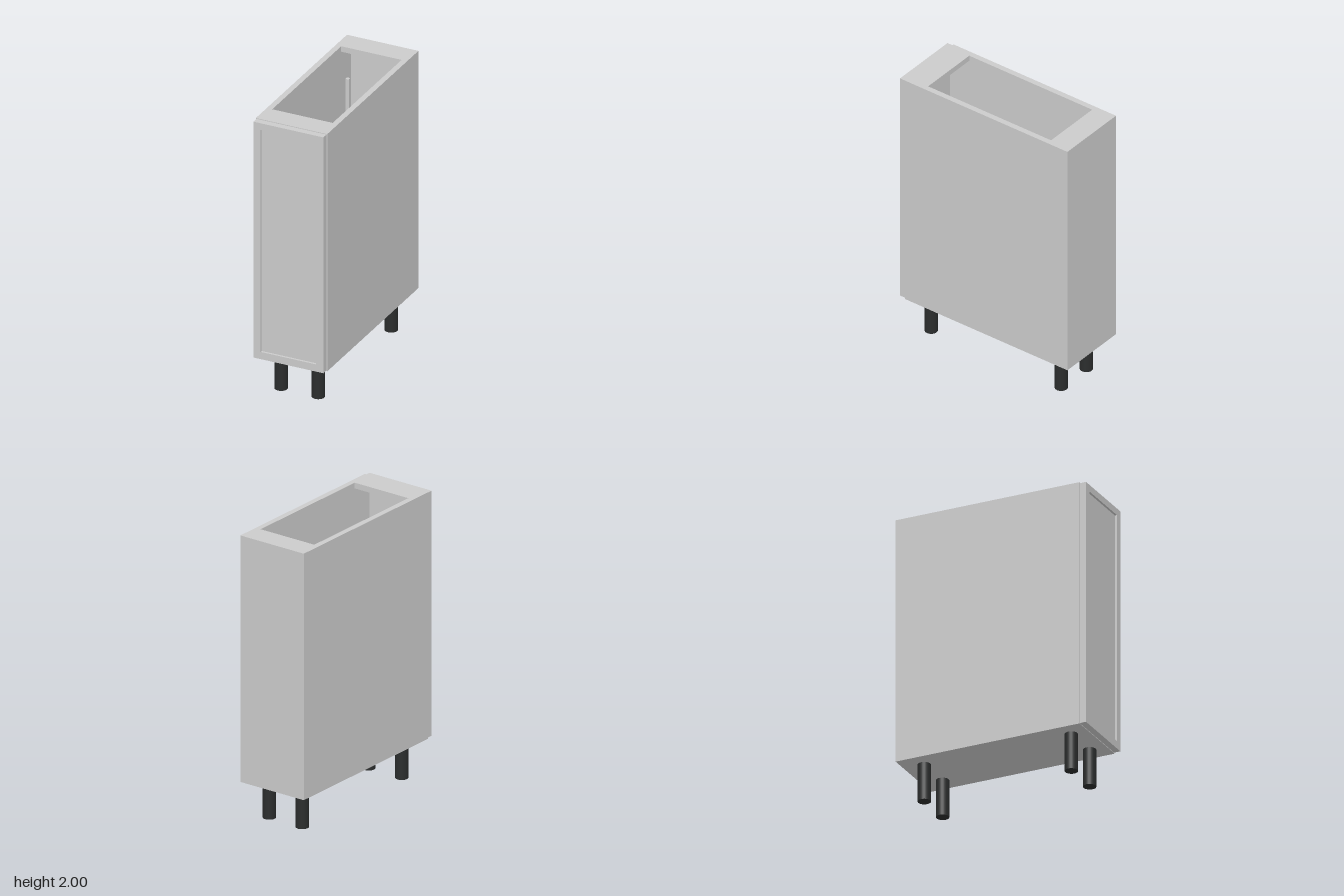
import * as THREE from 'three';

const grey = new THREE.MeshStandardMaterial({ color: 0xcccccc });
const black = new THREE.MeshStandardMaterial({ color: 0x2b2d2d });
const steel = new THREE.MeshStandardMaterial({ color: 0xb0b6ba });

// Box given by its min and max corners
function box(parent, name, [x0, y0, z0], [x1, y1, z1], material = grey) {
  const mesh = new THREE.Mesh(new THREE.BoxGeometry(x1 - x0, y1 - y0, z1 - z0), material);
  mesh.position.set((x0 + x1) / 2, (y0 + y1) / 2, (z0 + z1) / 2);
  mesh.name = name;
  parent.add(mesh);
  return mesh;
}

function rect(path, x0, y0, x1, y1) {
  path.moveTo(x0, y0);
  path.lineTo(x1, y0);
  path.lineTo(x1, y1);
  path.lineTo(x0, y1);
  path.closePath();
  return path;
}

export function createModel() {
  const model = new THREE.Group();
  model.name = 'baseCabinet';

  const W = 0.26, inner = 0.22, bottom = 0.265, top = 2;
  const back = -0.69, front = 0.645, board = 0.04;

  // Carcass: sides, floor, back and the two top rails
  const carcass = new THREE.Group();
  carcass.name = 'carcass';
  model.add(carcass);
  box(carcass, 'leftSide', [inner, bottom, back], [W, top, front]);
  box(carcass, 'rightSide', [-W, bottom, back], [-inner, top, front]);
  box(carcass, 'floor', [-inner, bottom, back], [inner, bottom + board, front]);
  box(carcass, 'backPanel', [-inner, bottom + board, back], [inner, top - board, back + 0.02]);
  box(carcass, 'rearRail', [-inner, top - board, back], [inner, top, -0.525]);
  box(carcass, 'frontRail', [-inner, top - board, 0.485], [inner, top, front]);

  // Door: frame around a recessed panel
  const door = new THREE.Group();
  door.name = 'door';
  model.add(door);
  const outline = rect(new THREE.Shape(), -0.254, 0.27, 0.254, 1.995);
  outline.holes.push(rect(new THREE.Path(), -0.202, 0.323, 0.202, 1.947));
  const frame = new THREE.Mesh(
    new THREE.ExtrudeGeometry(outline, { depth: 0.69 - front, bevelEnabled: false }), grey);
  frame.position.z = front;
  frame.name = 'doorFrame';
  door.add(frame);
  box(door, 'doorPanel', [-0.202, 0.323, front], [0.202, 1.947, 0.675]);

  // Pull-out tray with runners and rear posts
  const tray = new THREE.Group();
  tray.name = 'pullOutTray';
  model.add(tray);
  box(tray, 'trayBase', [-0.18, 0.34, -0.53], [0.18, 0.36, 0.64], steel);
  box(tray, 'trayBack', [-0.17, 0.36, -0.53], [0.17, 0.55, -0.52], steel);
  for (const s of [-1, 1]) {
    const pair = (name, a, b, y0, y1, z0, z1) =>
      box(tray, name, [Math.min(s * a, s * b), y0, z0], [Math.max(s * a, s * b), y1, z1], grey);
    pair('trayWall', 0.17, 0.18, 0.36, 0.55, -0.53, 0.64);
    pair('runner', 0.195, 0.22, 0.33, 0.4, -0.53, 0.64);
    pair('rearPost', 0.155, 0.18, 0.36, 1.78, -0.53, -0.505);
  }

  // Four round legs
  for (const x of [-0.135, 0.135]) {
    for (const z of [0.525, -0.543]) {
      const leg = new THREE.Mesh(new THREE.CylinderGeometry(0.044, 0.044, bottom, 24), black);
      leg.position.set(x, bottom / 2, z);
      leg.name = 'leg';
      model.add(leg);
    }
  }
  return model;
}
